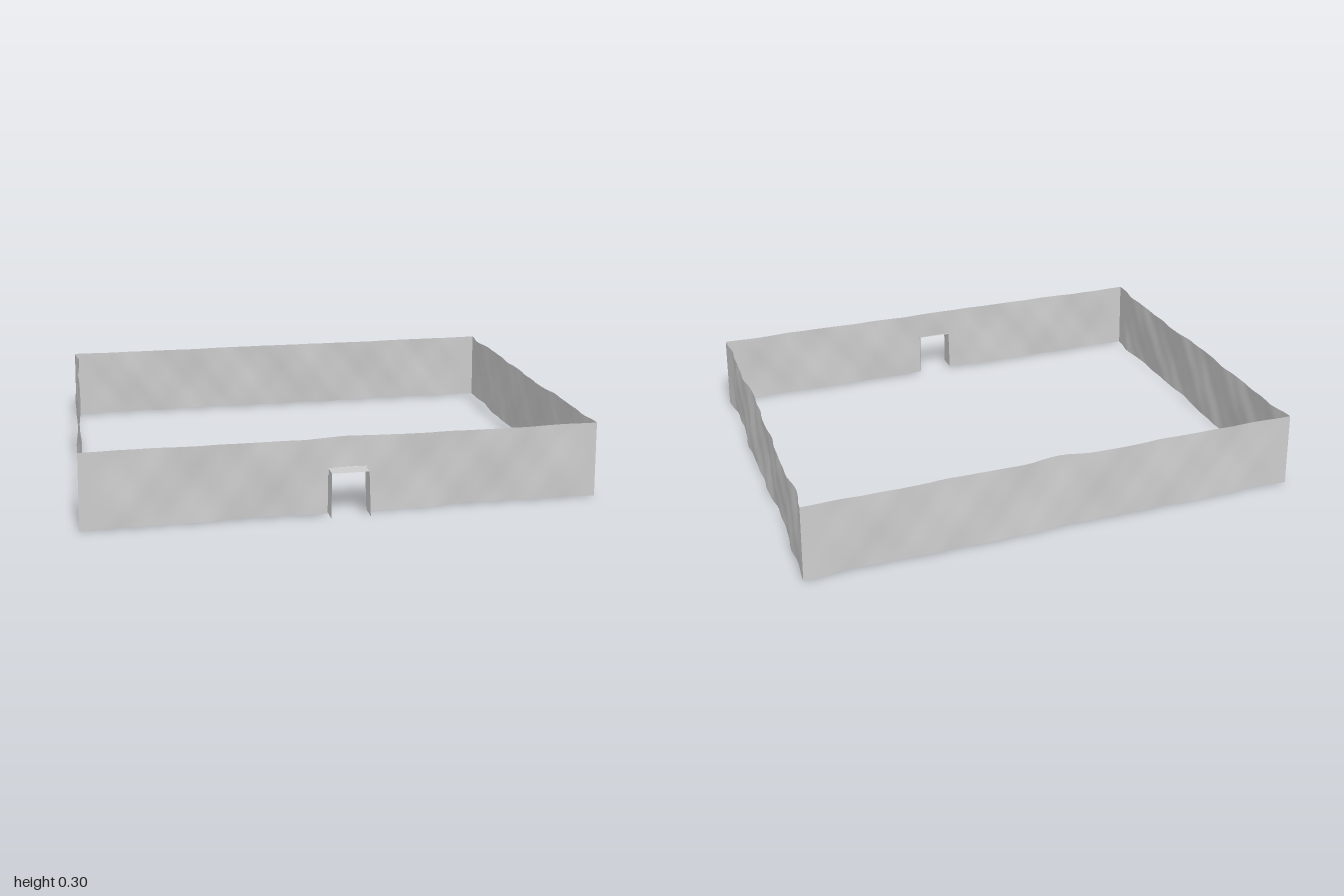
import * as THREE from 'three';

const HEIGHT = 0.3;
const material = new THREE.MeshStandardMaterial({ color: 0xcccccc, side: THREE.DoubleSide });

// Gentle weathered relief, about -1..1
function relief(u, y, seed) {
  return 0.4 * Math.sin(7 * u + 9 * y + seed)
    + 0.3 * Math.sin(15 * u - 17 * y + 2.3 * seed)
    + 0.2 * Math.sin(29 * u + 23 * y + 4.1 * seed)
    + 0.1 * Math.sin(51 * u - 37 * y + 1.7 * seed);
}

// Corner of the enclosure at relative height t; the walls lean in slightly
const corner = (sx, sz, t) => new THREE.Vector3(
  sx * (0.995 - 0.009 * t), 0, sz > 0 ? 0.725 : -0.8 + 0.007 * t);

// One thin wall from corner a to corner b, seen from outside as left to right
function wall(name, a, b, { amp, inset = 0, seed, cols = 54, door = false, bulge = 0 }) {
  const rows = 10;
  const geo = new THREE.PlaneGeometry(1, 1, cols, rows);
  const pos = geo.attributes.position;
  for (let i = 0; i < pos.count; i++) {
    const s = pos.getX(i) + 0.5, t = pos.getY(i) + 0.5;
    const p = corner(...a, t), q = corner(...b, t);
    const out = new THREE.Vector3().subVectors(q, p).normalize();
    out.set(-out.z, 0, out.x);
    const u = (s - 0.5) * p.distanceTo(q), y = t * HEIGHT;
    const fade = THREE.MathUtils.smoothstep(Math.min(s, 1 - s), 0, 0.08);
    const push = fade * (amp * relief(u, y, seed) - inset)
      - bulge * t * Math.exp(-Math.pow(u / 0.1, 2));
    const v = p.lerp(q, s).addScaledVector(out, push);
    // Slightly uneven foot and a low rise of the crest over the middle
    v.y = y + (1 - t) * 0.004 * fade * (1 + relief(u, 0, seed + 2));
    if (door || bulge) v.y += 0.004 * t * Math.exp(-Math.pow(u / 0.09, 2));
    pos.setXYZ(i, v.x, v.y, v.z);
  }
  if (door) {
    // Leave out the cells of the doorway: four columns, six rows
    const old = geo.index.array, kept = [];
    for (let c = 0; c < rows * cols; c++) {
      const col = c % cols, row = Math.floor(c / cols);
      if (Math.abs(col + 0.5 - cols / 2) < 2 && row >= 4) continue;
      for (let k = 0; k < 6; k++) kept.push(old[c * 6 + k]);
    }
    geo.setIndex(kept);
  }
  geo.computeVertexNormals();
  const mesh = new THREE.Mesh(geo, material);
  mesh.name = name;
  return mesh;
}

// Open door surround: two jambs and a lintel standing out from the front wall
function doorSurround() {
  const outline = [[-0.075, 0.01, 0.8], [-0.071, 0.182, 0.787], [0.071, 0.182, 0.787], [0.075, 0.01, 0.8]];
  const verts = [], index = [];
  for (const [x, y, z] of outline) verts.push(x, y, 0.722, x, y, z);
  for (let i = 0; i < 3; i++) {
    const k = i * 2;
    index.push(k, k + 1, k + 2, k + 1, k + 3, k + 2);
  }
  let geo = new THREE.BufferGeometry();
  geo.setAttribute('position', new THREE.Float32BufferAttribute(verts, 3));
  geo.setIndex(index);
  geo = geo.toNonIndexed();
  geo.computeVertexNormals();
  const mesh = new THREE.Mesh(geo, material);
  mesh.name = 'doorSurround';
  return mesh;
}

export function createModel() {
  const group = new THREE.Group();
  group.name = 'walledEnclosure';
  group.add(
    wall('frontWall', [-1, 1], [1, 1], { amp: 0.008, seed: 1.3, door: true }),
    wall('leftWall', [1, 1], [1, -1], { amp: 0.012, inset: 0.009, seed: 2.6 }),
    wall('backWall', [1, -1], [-1, -1], { amp: 0.007, inset: 0.004, seed: 4.2, bulge: 0.014 }),
    wall('rightWall', [-1, -1], [-1, 1], { amp: 0.012, inset: 0.009, seed: 5.9 }),
    doorSurround(),
  );
  return group;
}
